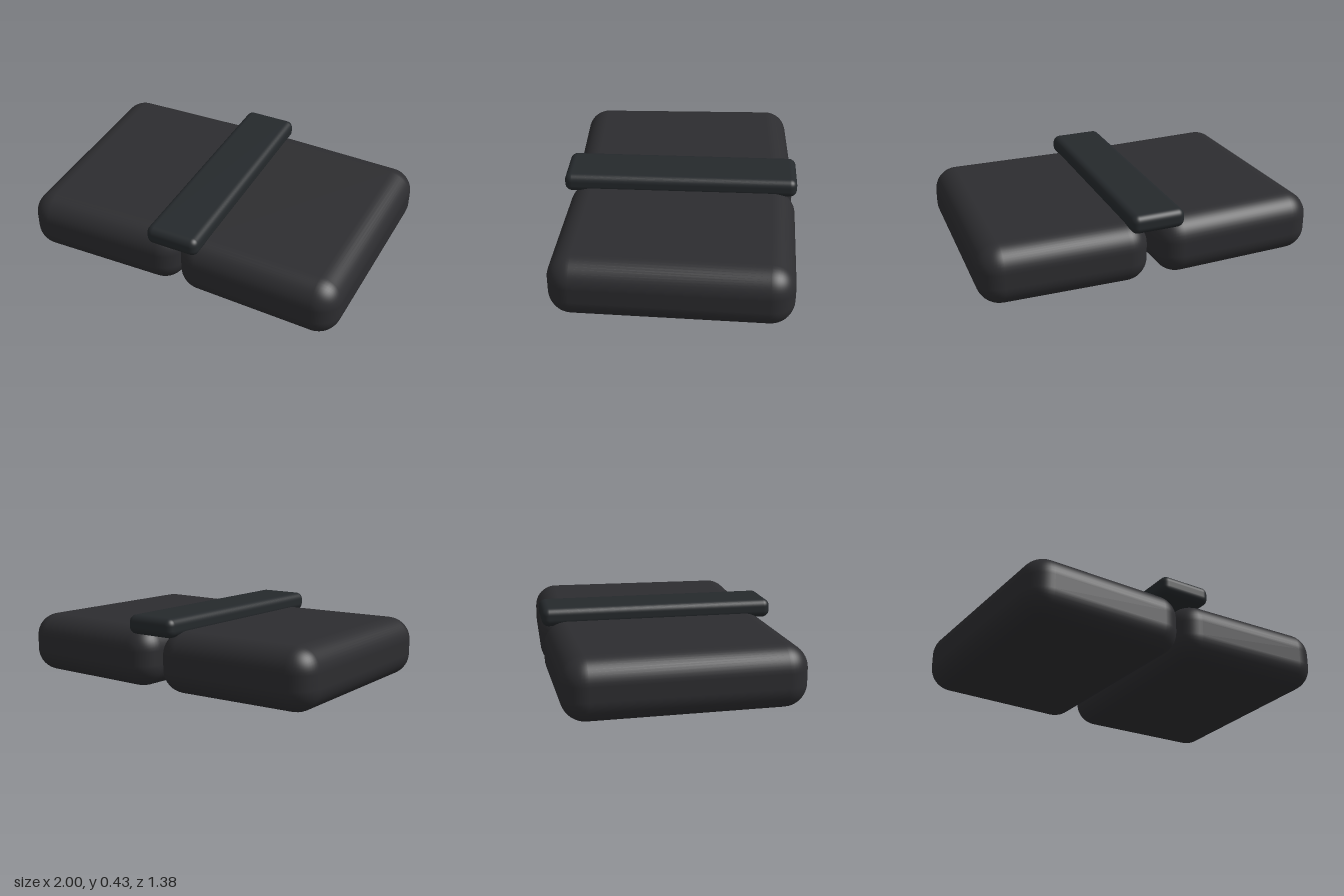
import * as THREE from 'three';
import { RoundedBoxGeometry } from 'three/addons/geometries/RoundedBoxGeometry.js';

export function createModel() {
  const model = new THREE.Group();
  model.name = 'strappedCushions';

  const cushionMaterial = new THREE.MeshStandardMaterial({ color: 0x2d2d30 });
  const strapMaterial = new THREE.MeshStandardMaterial({ color: 0x25292c });

  function addBlock(name, size, radius, position, material) {
    const mesh = new THREE.Mesh(new RoundedBoxGeometry(...size, 6, radius), material);
    mesh.name = name;
    mesh.position.set(...position);
    model.add(mesh);
    return mesh;
  }

  // Two thick pads, turned slightly so that they meet at the front
  for (const side of [-1, 1]) {
    const name = side > 0 ? 'leftCushion' : 'rightCushion';
    const cushion = addBlock(name, [0.975, 0.352, 1.34], 0.135, [side * 0.498, 0.176, 0], cushionMaterial);
    cushion.rotation.y = -side * 0.03;
  }

  // Flat bar over the seam, slightly sunk into the pads
  addBlock('centreStrap', [0.316, 0.11, 1.376], 0.042, [0, 0.375, 0], strapMaterial);

  return model;
}
